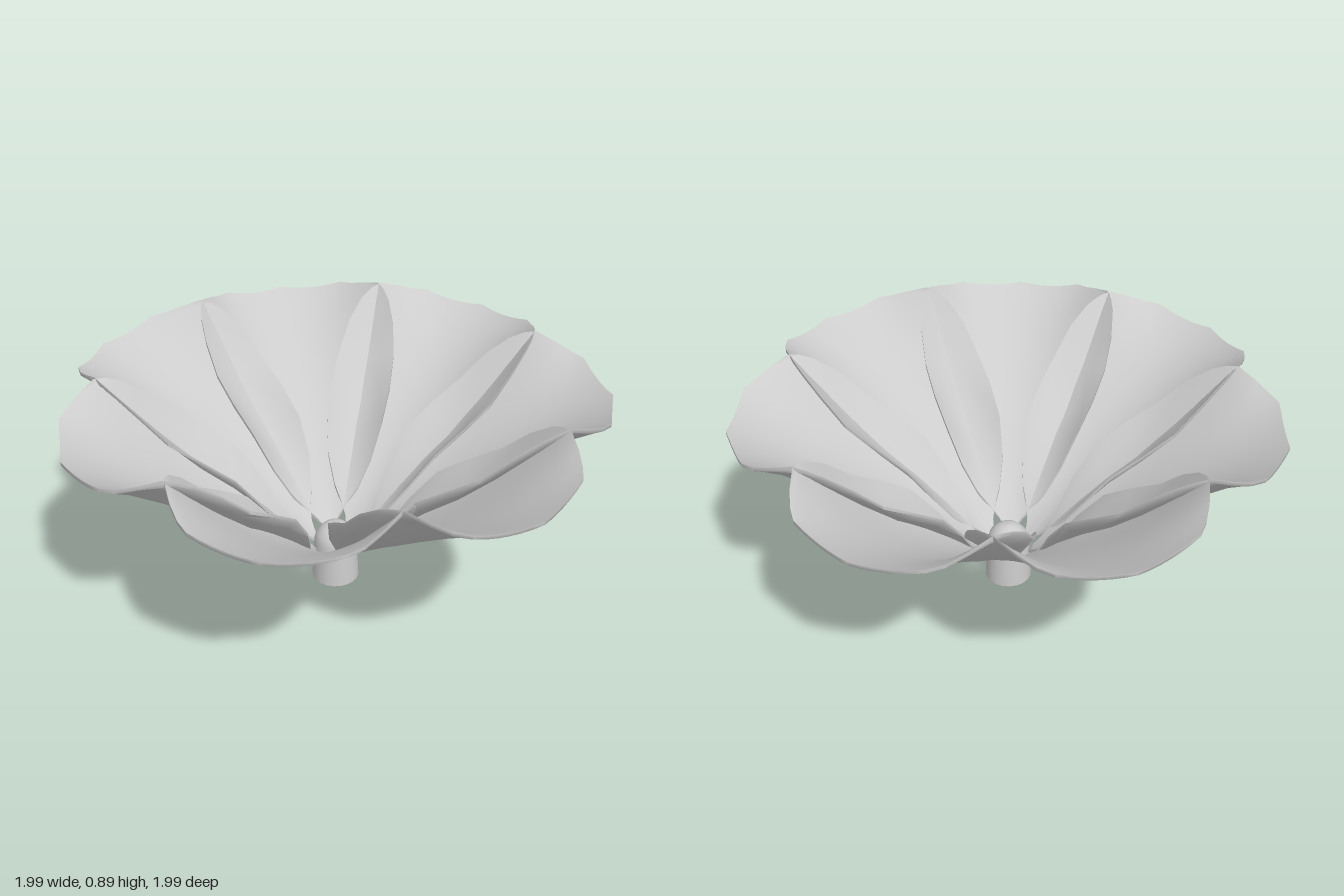
import * as THREE from 'three';
import { toCreasedNormals } from 'three/addons/utils/BufferGeometryUtils.js';

const PETALS = 7;
const SEGS = 18;
const THICK = 0.014;
const { smoothstep } = THREE.MathUtils;

// Petal rows from neck to rim: [distance at centre, distance at edge, half width]
const ROWS = [
  [0.085, 0.085, 0.012], [0.105, 0.1, 0.022], [0.135, 0.125, 0.045], [0.17, 0.148, 0.08],
  [0.21, 0.17, 0.135], [0.27, 0.21, 0.2], [0.36, 0.285, 0.265], [0.48, 0.39, 0.323],
  [0.62, 0.5, 0.368], [0.76, 0.6, 0.392], [0.88, 0.69, 0.396], [0.96, 0.745, 0.388],
  [1.02, 0.79, 0.374],
];

// Height of the cupped petal at distance u from the axis and v to the side
function petalHeight(u, v) {
  const t = (u - 0.09) / 0.93;
  const cup = 1.6 + 2.1 * (1 - smoothstep(u, 0.15, 0.5)) - 0.6 * smoothstep(u, 0.78, 0.97);
  return 0.15 + 0.66 * t + 0.1 * t * (1 - t) + cup * v * v;
}

// Thin closed shell; every row is a loop of upper points followed by lower points
function petalGeometry() {
  const pos = [], index = [], loop = 2 * (SEGS + 1);
  for (const [centre, edge, half] of ROWS) {
    for (let k = 0; k < loop; k++) {
      const upper = k <= SEGS;
      const s = (upper ? k : loop - 1 - k) / SEGS * 2 - 1;
      const a = Math.abs(s);
      const u = centre + (edge - centre) * Math.max(0.4 * a, a ** 3.2);
      const v = s * half;
      pos.push(v, petalHeight(u, v) - (upper ? 0 : THICK), -u);
    }
  }
  for (let j = 0; j < ROWS.length - 1; j++) {
    for (let k = 0; k < loop; k++) {
      const a = j * loop + k, b = j * loop + (k + 1) % loop;
      index.push(a, b, a + loop, b, b + loop, a + loop);
    }
  }
  // Rim and neck ends
  const last = (ROWS.length - 1) * loop;
  for (let i = 0; i < SEGS; i++) {
    const low = loop - 1 - i;
    index.push(last + i, last + i + 1, last + low, last + i + 1, last + low - 1, last + low);
    index.push(i, low, i + 1, i + 1, low, low - 1);
  }
  const geo = new THREE.BufferGeometry();
  geo.setAttribute('position', new THREE.Float32BufferAttribute(pos, 3));
  geo.setIndex(index);
  return toCreasedNormals(geo, Math.PI / 3);
}

export function createModel() {
  const grey = new THREE.MeshStandardMaterial({ color: 0xcccccc, side: THREE.DoubleSide });
  grey.name = 'pale grey';

  const flower = new THREE.Group();
  flower.name = 'flower';

  // Ring of overlapping petals
  const petals = new THREE.Group();
  petals.name = 'petals';
  petals.position.z = 0.02; // an odd petal count is lopsided, so centre the bounds
  const geo = petalGeometry();
  for (let i = 0; i < PETALS; i++) {
    const petal = new THREE.Mesh(geo, grey);
    petal.name = 'petal';
    petal.rotation.y = i * 2 * Math.PI / PETALS;
    petals.add(petal);
  }
  flower.add(petals);

  // Short hollow stem with a domed top
  const profile = [
    [0.093, 0], [0.091, 0.05], [0.087, 0.11], [0.084, 0.17],
    [0.074, 0.205], [0.05, 0.23], [0.025, 0.242], [0, 0.246],
  ].map(([r, y]) => new THREE.Vector2(r, y));
  const stem = new THREE.Mesh(new THREE.LatheGeometry(profile, 20), grey);
  stem.name = 'stem';
  stem.position.z = 0.025;
  flower.add(stem);

  return flower;
}
